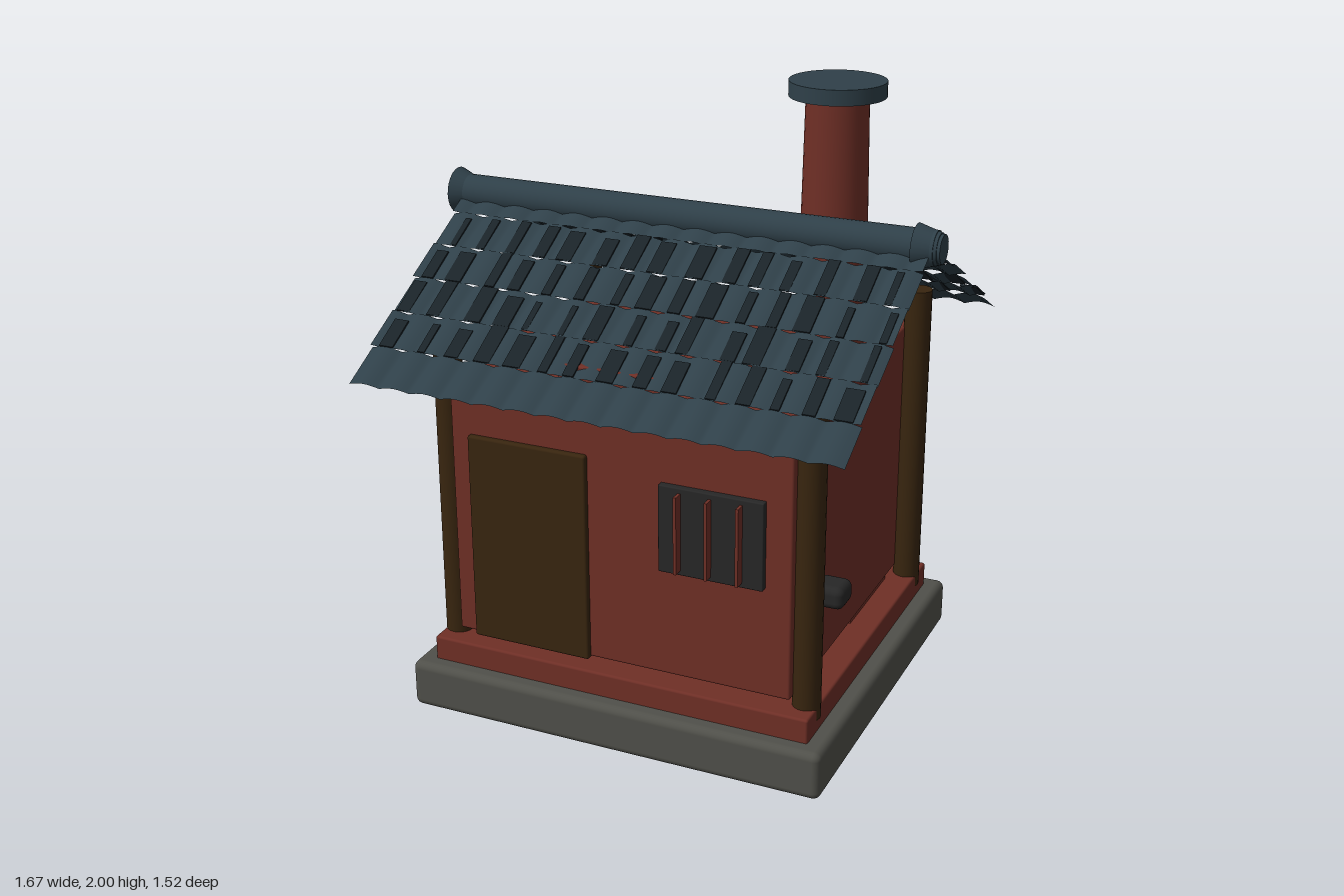
import * as THREE from 'three';
import { RoundedBoxGeometry } from 'three/addons/geometries/RoundedBoxGeometry.js';
import { mergeGeometries } from 'three/addons/utils/BufferGeometryUtils.js';

function material(name, color, side = THREE.FrontSide) {
  const m = new THREE.MeshStandardMaterial({ color, side });
  m.name = name;
  return m;
}

export function createModel() {
  const house = new THREE.Group();
  house.name = 'house';
  const red = material('red clay', 0x6f2f26);
  const stone = material('grey stone', 0x50504a);
  const slate = material('slate blue', 0x2f4049, THREE.DoubleSide);
  const shade = material('dark slate', 0x1a2328);
  const wood = material('dark wood', 0x38250f);
  const iron = material('black iron', 0x272727);

  const add = (name, geo, mat, x = 0, y = 0, z = 0, parent = house) => {
    const mesh = new THREE.Mesh(geo, mat);
    mesh.name = name;
    mesh.position.set(x, y, z);
    parent.add(mesh);
    return mesh;
  };
  // Box given by its extents, with softened edges when r > 0
  const block = (name, mat, [x0, x1], [y0, y1], [z0, z1], r = 0) => {
    const s = [x1 - x0, y1 - y0, z1 - z0];
    const geo = r ? new RoundedBoxGeometry(...s, 3, r) : new THREE.BoxGeometry(...s);
    return add(name, geo, mat, (x0 + x1) / 2, (y0 + y1) / 2, (z0 + z1) / 2);
  };

  // Foundation and walls
  block('stoneBase', stone, [-0.71, 0.71], [0, 0.16], [-0.64, 0.64], 0.025);
  block('plinth', red, [-0.65, 0.65], [0.15, 0.24], [-0.585, 0.585], 0.008);
  block('walls', red, [-0.575, 0.575], [0.27, 1.15], [-0.545, 0.545], 0.008);

  // Supports in the gap under the floor
  block('floorSupport', wood, [-0.53, -0.48], [0.235, 0.28], [0.1, 0.15]);
  block('floorSupport', wood, [-0.05, 0], [0.235, 0.28], [0.1, 0.15]);
  block('floorSupport', wood, [0.4, 0.56], [0.235, 0.28], [0.22, 0.4]);
  block('hearthSupport', red, [0.14, 0.56], [0.235, 0.28], [-0.41, -0.05]);

  // Corner posts
  for (const x of [-0.61, 0.61])
    for (const z of [-0.49, 0.49])
      add('cornerPost', new THREE.CylinderGeometry(0.045, 0.045, 1.08, 20), wood, x, 0.74, z);

  // Door, rear shutter, sign board and side knob
  block('door', wood, [-0.51, -0.1], [0.265, 0.965], [0.53, 0.563], 0.008);
  block('rearShutter', wood, [-0.53, -0.1], [0.46, 0.94], [-0.575, -0.53], 0.006);
  block('signBoard', red, [-0.17, 0.17], [1.108, 1.268], [0.542, 0.59], 0.008);
  block('sideKnob', iron, [0.56, 0.67], [0.5, 0.575], [0.255, 0.36], 0.025);

  // Front window with upright fins
  block('window', iron, [0.147, 0.49], [0.632, 0.92], [0.53, 0.567], 0.004);
  for (const x of [0.217, 0.317, 0.418])
    block('windowFin', red, [x - 0.005, x + 0.005], [0.648, 0.903], [0.56, 0.6]);

  // Chimney
  add('chimney', new THREE.CylinderGeometry(0.1, 0.115, 0.84, 32), red, 0.385, 1.55, -0.27);
  add('chimneyCap', new THREE.CylinderGeometry(0.155, 0.155, 0.05, 40), slate, 0.385, 1.975, -0.27);

  // Ridge pole with a flared collar at each end
  const ridge = new THREE.Group();
  ridge.name = 'ridge';
  ridge.position.y = 1.58;
  house.add(ridge);
  const rod = (name, rLeft, rRight, x0, x1) => {
    const geo = new THREE.CylinderGeometry(rLeft, rRight, x1 - x0, 24).rotateZ(Math.PI / 2);
    add(name, geo, slate, (x0 + x1) / 2, 0, 0, ridge);
  };
  rod('ridgePole', 0.056, 0.056, -0.82, 0.81);
  rod('ridgeTip', 0.046, 0.046, 0.8, 0.83);
  rod('leftCollar', 0.075, 0.05, -0.837, -0.78);
  rod('rightCollar', 0.072, 0.05, 0.745, 0.82);

  // Roof slopes: rows of arched tiles with dark seams
  let seed = 7;
  const random = () => (seed = (seed * 16807) % 2147483647) / 2147483647;
  const tile = 1.6 / 15;
  const rows = [0.03, 0.115, 0.264, 0.413, 0.563, 0.712, 0.864];

  function tileRow(s0, s1, offset) {
    const geo = new THREE.PlaneGeometry(1.6, s1 - s0, 120, 1).rotateX(-Math.PI / 2);
    geo.translate(0, 0, (s0 + s1) / 2);
    const p = geo.attributes.position;
    for (let i = 0; i < p.count; i++) {
      const arch = Math.abs(Math.sin((p.getX(i) + 0.8 + offset) / tile * Math.PI));
      const lift = p.getZ(i) > (s0 + s1) / 2 ? 0.004 : 0;
      p.setY(i, -0.006 + 0.012 * arch + lift);
    }
    geo.computeVertexNormals();
    return geo;
  }

  for (const turn of [0, Math.PI]) {
    const slope = new THREE.Group();
    slope.name = turn ? 'rearRoof' : 'frontRoof';
    slope.position.y = 1.588;
    slope.rotation.set(0.513, turn, 0, 'YXZ');
    house.add(slope);
    const tiles = [], seams = [];
    for (let r = 0; r < rows.length - 1; r++) {
      const s0 = rows[r], s1 = rows[r + 1];
      const offset = r % 2 ? 0 : tile / 2;
      tiles.push(tileRow(s0, s1 + 0.004, offset));
      if (r === 0 || r === rows.length - 2) continue;
      for (let i = 0; i < 15; i++) {
        const width = 0.02 + 0.04 * random();
        const x = -0.8 + tile * (i + 0.3 + 0.4 * random());
        const length = (s1 - s0) * (0.75 + 0.25 * random());
        seams.push(new THREE.BoxGeometry(width, 0.006, length)
          .translate(x, 0.007, s1 - length / 2));
      }
    }
    add('roofTiles', mergeGeometries(tiles), slate, 0, 0, 0, slope);
    add('tileSeams', mergeGeometries(seams), shade, 0, 0, 0, slope);
  }
  return house;
}
